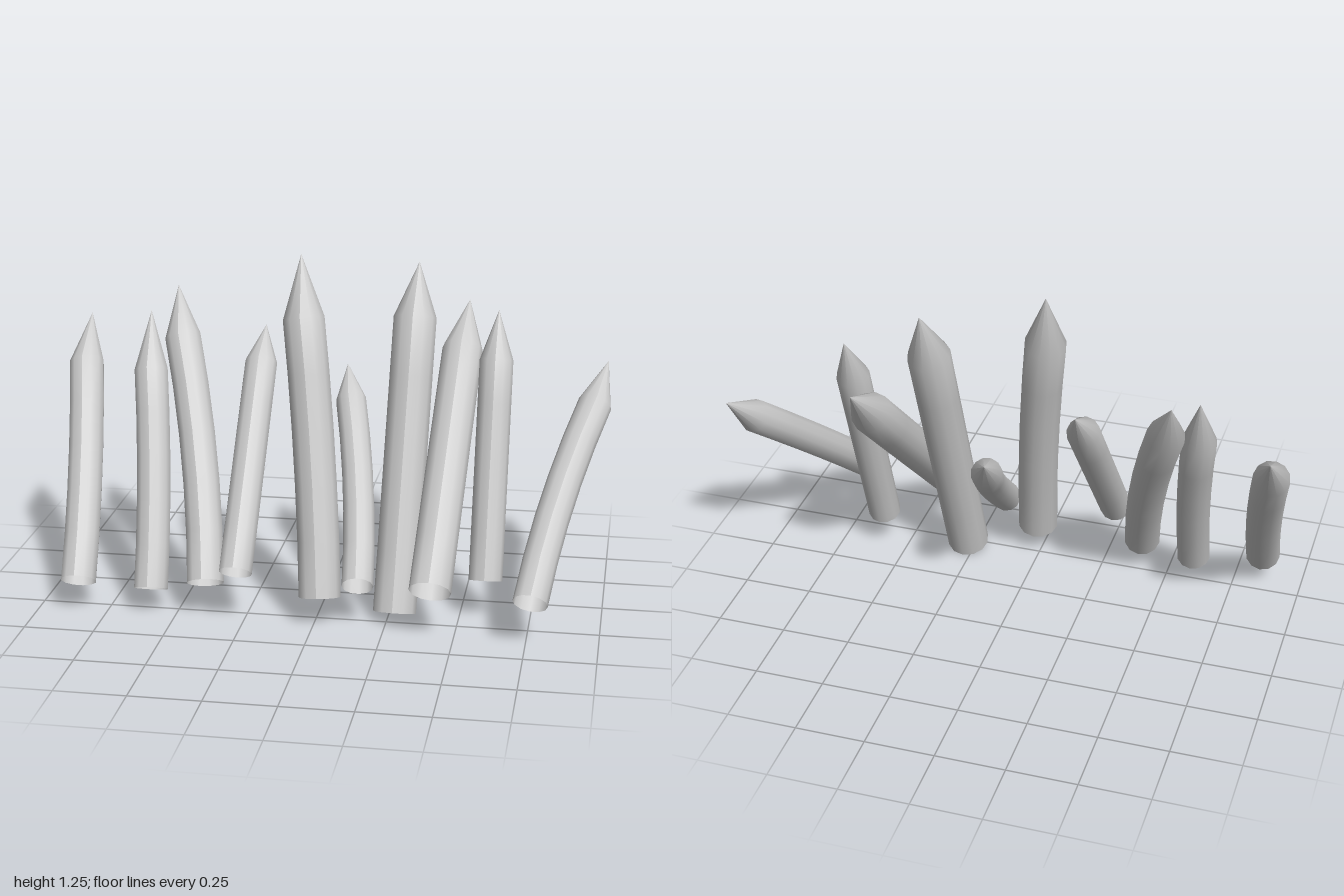
import * as THREE from 'three';

const SIDES = 12, ROWS = 6;

// Each stake: centre of the open base, centre of the shoulder ring, tip, radius, sideways bend
const STAKES = [
  { base: [-0.85, 0.115, 0.32], shoulder: [-0.938, 0.78, -0.19], tip: [-0.955, 0.93, -0.35], r: 0.064, bend: 0.01 },
  { base: [-0.595, 0.085, 0.28], shoulder: [-0.66, 0.80, -0.06], tip: [-0.675, 1.0, -0.15], r: 0.062, bend: 0.01 },
  { base: [-0.395, 0.12, 0.28], shoulder: [-0.572, 0.89, -0.2], tip: [-0.61, 1.06, -0.31], r: 0.067, bend: 0.02 },
  { base: [-0.27, 0.195, 0.355], shoulder: [-0.27, 0.82, -0.15], tip: [-0.27, 0.935, -0.26], r: 0.059, bend: 0 },
  { base: [0.02, 0.1, 0.3], shoulder: [-0.08, 1.04, 0.035], tip: [-0.1, 1.255, -0.035], r: 0.075, bend: 0.01 },
  { base: [0.16, 0.165, 0.34], shoulder: [0.045, 0.66, -0.26], tip: [0.015, 0.765, -0.38], r: 0.056, bend: 0.015 },
  { base: [0.275, 0.025, 0.215], shoulder: [0.295, 1.02, -0.125], tip: [0.3, 1.205, -0.2], r: 0.077, bend: 0 },
  { base: [0.42, 0.185, 0.4], shoulder: [0.45, 0.86, -0.3], tip: [0.46, 1.01, -0.46], r: 0.074, bend: 0 },
  { base: [0.59, 0.14, 0.15], shoulder: [0.59, 0.88, -0.105], tip: [0.59, 1.045, -0.175], r: 0.06, bend: 0 },
  { base: [0.765, 0.17, 0.415], shoulder: [0.94, 0.705, -0.2], tip: [0.98, 0.83, -0.34], r: 0.061, bend: -0.02 },
];

// Sweep an open cylinder along the bent centre line and close its last row to a point
function stakeGeometry({ base, shoulder, tip, r, bend }) {
  const a = new THREE.Vector3(...base), b = new THREE.Vector3(...shoulder), end = new THREE.Vector3(...tip);
  const control = a.clone().lerp(b, 0.5);
  control.x += bend * 2;
  const line = new THREE.QuadraticBezierCurve3(a, control, b);
  const up = new THREE.Vector3(0, 1, 0), q = new THREE.Quaternion(), v = new THREE.Vector3();
  const geo = new THREE.CylinderGeometry(1, 1, 1, SIDES, ROWS, true);
  const pos = geo.attributes.position;
  for (let i = 0; i < pos.count; i++) {
    const row = Math.round((pos.getY(i) + 0.5) * ROWS);
    if (row === ROWS) {
      v.copy(end);
    } else {
      const t = row / (ROWS - 1);
      q.setFromUnitVectors(up, line.getTangent(t));
      v.set(pos.getX(i) * r, 0, pos.getZ(i) * r).applyQuaternion(q).add(line.getPoint(t));
    }
    pos.setXYZ(i, v.x, v.y, v.z);
  }
  geo.computeVertexNormals();
  return geo;
}

export function createModel() {
  const model = new THREE.Group();
  model.name = 'sharpenedStakes';
  const wood = new THREE.MeshStandardMaterial({ color: 0xcccccc, side: THREE.DoubleSide });
  STAKES.forEach((spec, i) => {
    const stake = new THREE.Mesh(stakeGeometry(spec), wood);
    stake.name = `stake${i + 1}`;
    model.add(stake);
  });
  return model;
}
